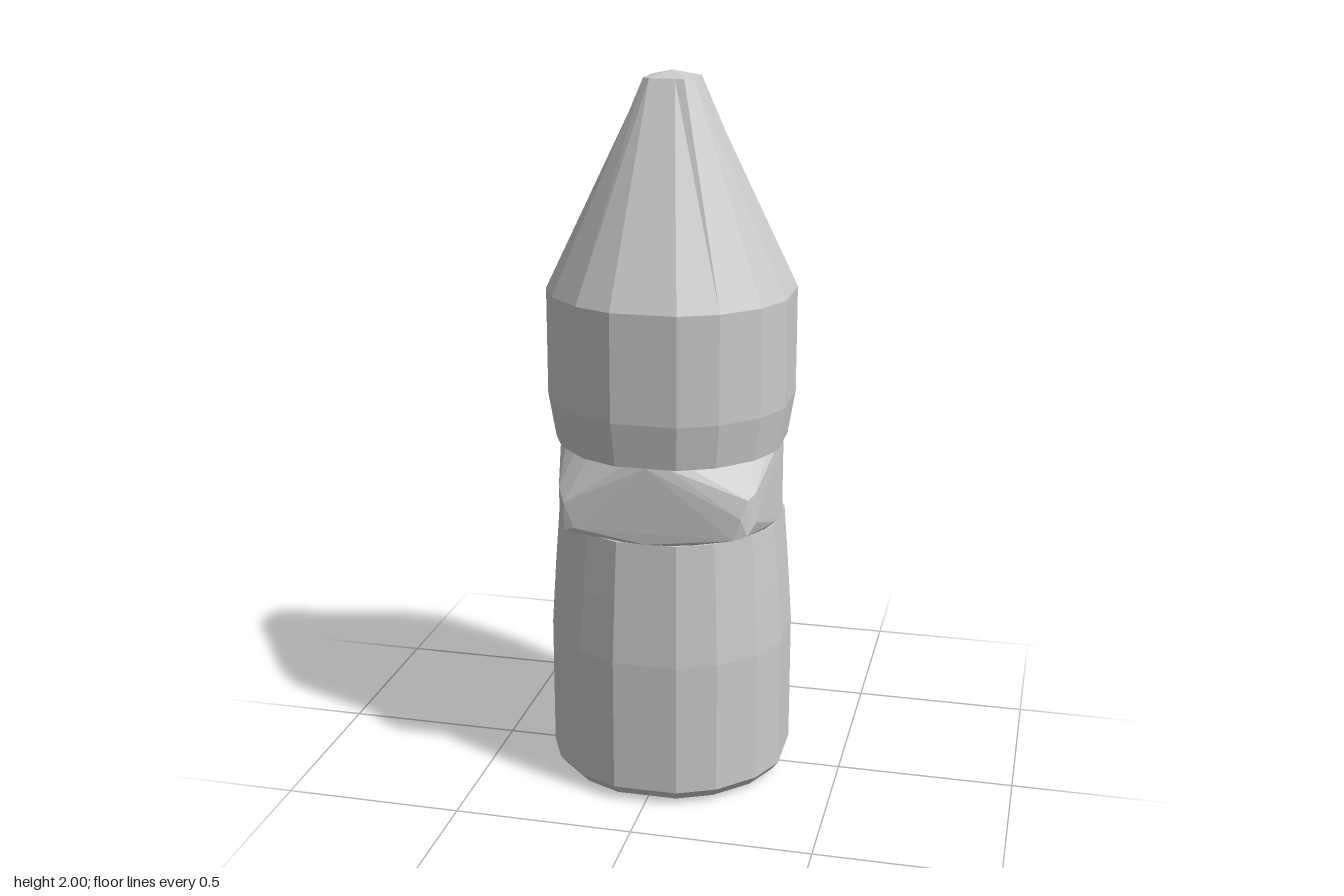
import * as THREE from 'three';
import { ConvexGeometry } from 'three/addons/geometries/ConvexGeometry.js';

const material = () => new THREE.MeshStandardMaterial({ color: 0xcccccc, flatShading: true });

// Uneven 16-sided section: one wide flat on each of the four sides
const ANGLES = [];
for (let q = 0; q < 4; q++) {
  for (const a of [15, 34, 56, 75]) ANGLES.push(THREE.MathUtils.degToRad(a + q * 90));
}

// Turned solid from [radius, y] pairs, with its sides moved to the uneven angles
function turned(name, profile, tipY = Infinity) {
  const points = profile.map(([r, y]) => new THREE.Vector2(r, y));
  const geometry = new THREE.LatheGeometry(points, 16);
  const p = geometry.attributes.position;
  for (let i = 0; i < p.count; i++) {
    const [r, y] = profile[i % profile.length];
    const a = ANGLES[Math.floor(i / profile.length) % 16];
    let x = r * Math.sin(a);
    let z = r * Math.cos(a);
    if (y > tipY) { // squared-off tip
      x = THREE.MathUtils.clamp(x, -0.068, 0.07);
      z = THREE.MathUtils.clamp(z, -0.072, 0.065);
    }
    p.setXYZ(i, x, y, z);
  }
  geometry.computeVertexNormals();
  const mesh = new THREE.Mesh(geometry, material());
  mesh.name = name;
  return mesh;
}

// Round band whose front widens into two blunt corners
function band() {
  const points = [];
  for (let i = 0; i < 32; i++) {
    const a = (i / 32) * Math.PI * 2;
    for (const y of [0.768, 0.985]) {
      points.push(new THREE.Vector3(0.314 * Math.sin(a), y, 0.314 * Math.cos(a)));
    }
  }
  const corners = [
    [0.293, 0.84, 0.265], [0.29, 0.92, 0.262], [0.275, 0.81, 0.3], [0.275, 0.91, 0.295],
    [0.24, 0.8, 0.315], [0.26, 0.86, 0.311],
    [-0.25, 0.8, 0.28], [-0.255, 0.9, 0.268], [-0.23, 0.79, 0.31], [-0.23, 0.87, 0.312],
    [-0.2, 0.8, 0.316],
  ];
  for (const c of corners) points.push(new THREE.Vector3(...c));
  const mesh = new THREE.Mesh(new ConvexGeometry(points), material());
  mesh.name = 'middleBand';
  return mesh;
}

export function createModel() {
  const model = new THREE.Group();
  model.name = 'pointedFigure';

  // Lower body: chamfered foot, straight wall, slight taper up to the band
  model.add(turned('lowerBody', [
    [0, 0], [0.29, 0.003], [0.325, 0.012], [0.347, 0.04],
    [0.347, 0.42], [0.335, 0.6], [0.322, 0.768], [0, 0.768],
  ]));

  model.add(band());

  // Upper body: flared lip, straight wall, long cone and blunt tip
  model.add(turned('pointedTop', [
    [0, 0.985], [0.326, 0.985], [0.347, 1.11], [0.347, 1.41],
    [0.085, 1.983], [0, 2],
  ], 1.9));

  return model;
}
